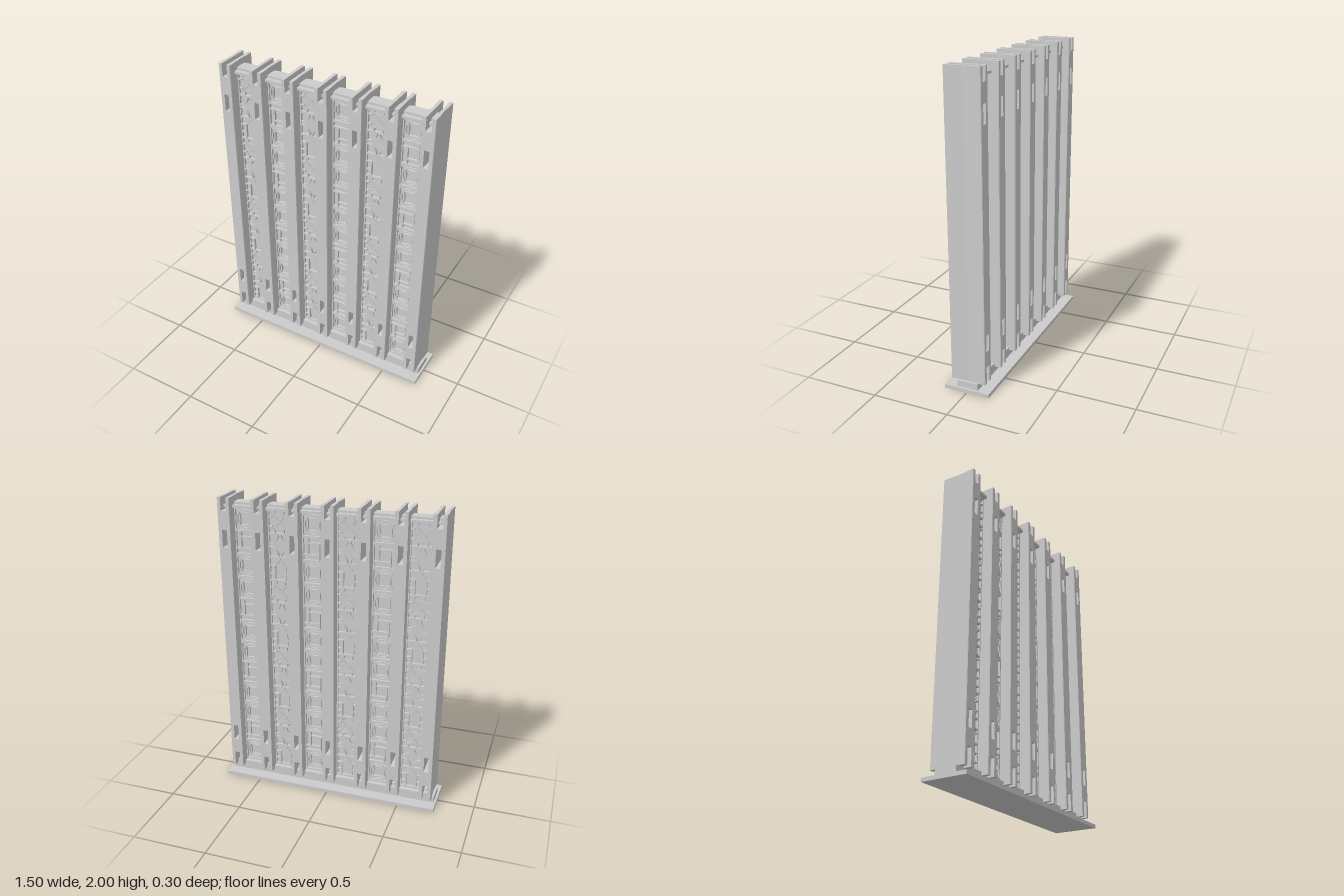
import * as THREE from 'three';
import { mergeGeometries } from 'three/addons/utils/BufferGeometryUtils.js';

const mat = new THREE.MeshStandardMaterial({ color: 0xcccccc, flatShading: true });
const POST_X = [-0.68, -0.455, -0.228, 0, 0.228, 0.455, 0.68];
const TILE_W = 0.146, TILE_H = 0.153, ROWS = 12, TILE_TOP = 1.93;
const RELIEF = 0.084; // full depth of the lattice bars

function box(name, w, h, d, x, y, z) {
  const m = new THREE.Mesh(new THREE.BoxGeometry(w, h, d), mat);
  m.name = name;
  m.position.set(x, y, z);
  return m;
}

// Forked post with slots, chamfered at its faces and waisted halfway through
function postGeometry() {
  const w = 0.042, s = 0.018, y0 = 0.065, y1 = 2;
  const shape = new THREE.Shape([
    [-w, y0], [-s, y0], [-s, 0.175], [s, 0.175], [s, y0], [w, y0],
    [w, y1], [s, y1], [s, 1.915], [-s, 1.915], [-s, y1], [-w, y1],
  ].map(([x, y]) => new THREE.Vector2(x, y)));
  for (const [a, b] of [[0.28, 0.39], [1.68, 1.795]]) {
    const r = 0.016;
    shape.holes.push(new THREE.Path([
      new THREE.Vector2(-r, a), new THREE.Vector2(-r, b),
      new THREE.Vector2(r, b), new THREE.Vector2(r, a),
    ]));
  }
  const g = new THREE.ExtrudeGeometry(shape, { depth: 6, steps: 6, bevelEnabled: false });
  const layerZ = [0, 0.065, 0.11, 0.115], layerWidth = [0.88, 0.98, 1, 0.94];
  const p = g.attributes.position;
  for (let i = 0; i < p.count; i++) {
    const layer = Math.round(p.getZ(i)) - 3, k = Math.abs(layer);
    p.setZ(i, Math.sign(layer) * layerZ[k]);
    if (Math.abs(p.getX(i)) > 0.03) p.setX(i, p.getX(i) * layerWidth[k]);
  }
  g.computeVertexNormals();
  return g;
}

// Lattice tile: polylines in -1..1 tile units become thin bars
function tileGeometry(lines) {
  const parts = [];
  for (const pts of lines) {
    for (let i = 0; i + 1 < pts.length; i++) {
      const ax = pts[i][0] * TILE_W / 2, ay = pts[i][1] * TILE_H / 2;
      const bx = pts[i + 1][0] * TILE_W / 2, by = pts[i + 1][1] * TILE_H / 2;
      const g = new THREE.BoxGeometry(Math.hypot(bx - ax, by - ay) + 0.003, 0.008, RELIEF);
      g.rotateZ(Math.atan2(by - ay, bx - ax));
      g.translate((ax + bx) / 2, (ay + by) / 2, 0);
      parts.push(g);
    }
  }
  return mergeGeometries(parts);
}

function arc(cx, cy, r, from, to, n) {
  const pts = [];
  for (let i = 0; i <= n; i++) {
    const a = (from + (to - from) * i / n) * Math.PI / 180;
    pts.push([cx + r * Math.cos(a), cy + r * Math.sin(a)]);
  }
  return pts;
}
const rect = (x0, y0, x1, y1) => [[x0, y0], [x1, y0], [x1, y1], [x0, y1], [x0, y0]];
const frame = rect(-0.97, -0.97, 0.97, 0.97);

function tileSet() {
  // Circle crossed by four arcs that run from corner to corner
  const circle = [frame, arc(0, 0, 0.8, 0, 360, 20)];
  for (let k = 0; k < 4; k++) {
    const a = k * Math.PI / 2;
    circle.push(arc(1.75 * Math.cos(a), 1.75 * Math.sin(a), 1.25, k * 90 + 127, k * 90 + 233, 8));
  }
  // Square with lines running on to the edges of the tile
  const squares = [frame, rect(-0.5, -0.5, 0.5, 0.5), [[-1, 0.5], [-0.5, 0.5]],
    [[0.5, 0.5], [0.5, 1]], [[0.5, -0.5], [1, -0.5]], [[-0.5, -0.5], [-0.5, -1]]];
  // Four-pointed star made of corner arcs
  const star = [frame];
  for (const [x, y, a] of [[1, 1, 180], [-1, 1, 270], [-1, -1, 0], [1, -1, 90]]) {
    star.push(arc(x, y, 0.88, a, a + 90, 7));
  }
  // Pointed arch with side bars
  const arch = [frame, [[-0.5, -1], [-0.5, 0.3], [0, 0.8], [0.5, 0.3], [0.5, -1]],
    [[-1, 0.3], [-0.5, 0.3]], [[0.5, 0.3], [1, 0.3]],
    [[-1, -0.4], [-0.5, -0.4]], [[0.5, -0.4], [1, -0.4]], [[0, 0.8], [0, 1]]];
  // Crossed bars with a bracket on each side
  const cross = [frame, [[-0.65, -0.65], [0.65, 0.65]], [[-0.65, 0.65], [0.65, -0.65]]];
  for (const s of [-1, 1]) {
    cross.push([[-0.4, s], [-0.4, s * 0.65], [0, s * 0.4], [0.4, s * 0.65], [0.4, s]]);
    cross.push([[s, -0.4], [s * 0.65, -0.4]], [[s * 0.65, 0.4], [s, 0.4]]);
  }
  const [c, q, s, a, x] = [circle, squares, star, arch, cross].map(tileGeometry);
  return [[x, s, a], [c, q, c]];
}

export function createModel() {
  const model = new THREE.Group();
  model.name = 'latticeScreen';

  // Foot
  model.add(box('basePlate', 1.5, 0.024, 0.3, 0, 0.012, 0));
  model.add(box('plinth', 1.47, 0.042, 0.14, 0, 0.045, 0));

  // Rails running through the forks of the posts
  model.add(box('bottomRail', 1.43, 0.022, 0.14, 0, 0.076, 0));
  model.add(box('bottomRailStep', 1.43, 0.014, 0.08, 0, 0.094, 0));
  model.add(box('topRail', 1.43, 0.016, 0.14, 0, 1.938, 0));
  model.add(box('topRailStep', 1.43, 0.014, 0.08, 0, 1.953, 0));

  // Posts
  const post = postGeometry();
  for (const x of POST_X) {
    const m = new THREE.Mesh(post, mat);
    m.name = 'post';
    m.position.x = x;
    model.add(m);
  }

  // Panels between the posts, with two alternating tile columns
  const columns = tileSet();
  for (let i = 0; i < POST_X.length - 1; i++) {
    const panel = new THREE.Group();
    panel.name = 'panel';
    panel.position.x = (POST_X[i] + POST_X[i + 1]) / 2;
    panel.add(box('panelBacking', 0.158, 1.85, 0.05, 0, 1.015, 0));
    for (let r = 0; r < ROWS; r++) {
      const tile = new THREE.Mesh(columns[i % 2][r % 3], mat);
      tile.name = 'latticeTile';
      tile.position.y = TILE_TOP - (r + 0.5) * TILE_H;
      panel.add(tile);
    }
    model.add(panel);
  }
  return model;
}
